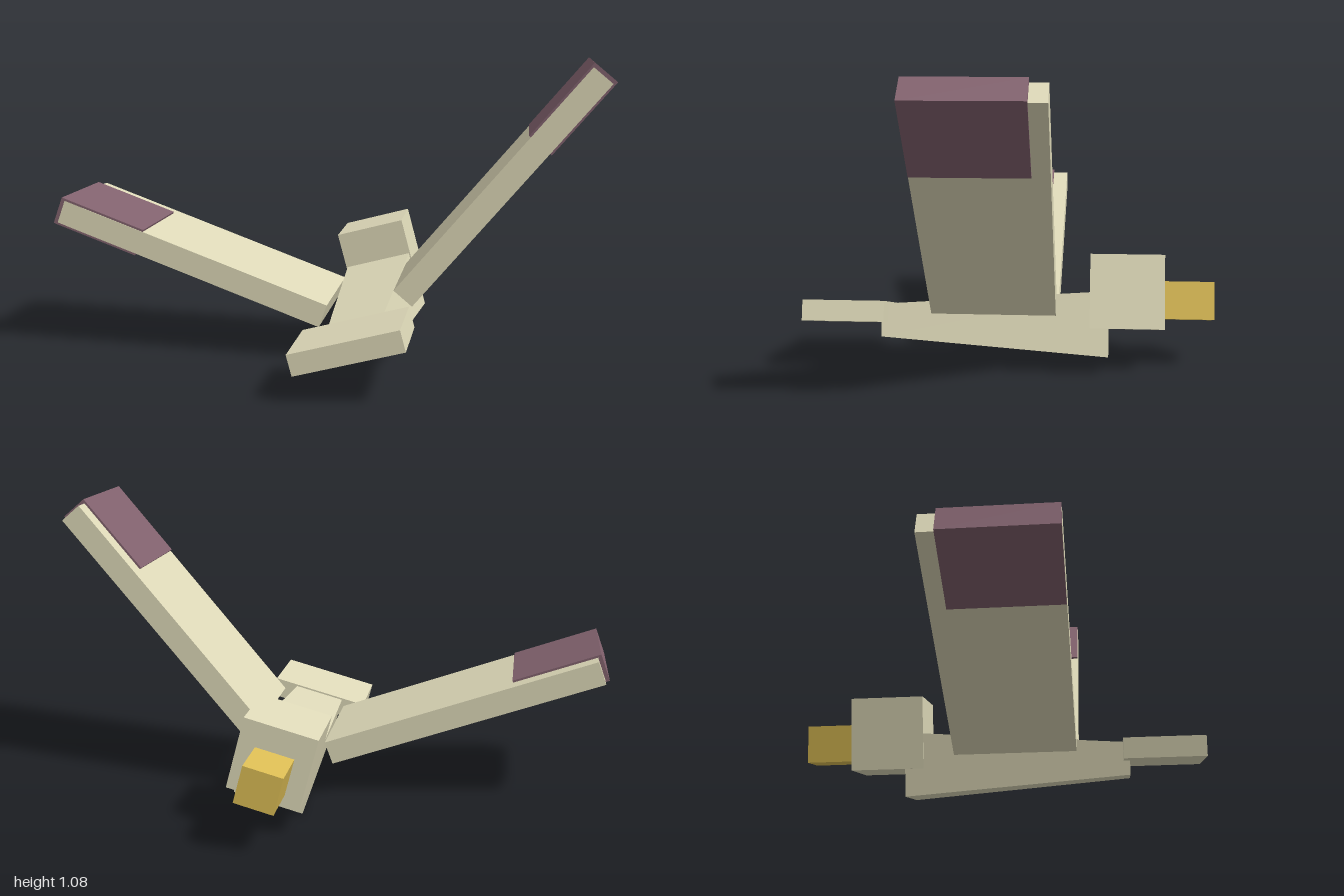
import * as THREE from 'three';

const paint = (name, color) => {
  const m = new THREE.MeshStandardMaterial({ color });
  m.name = name;
  return m;
};

export function createModel() {
  const cream = paint('cream', 0xdfdab9);
  const plum = paint('plum', 0x82626e);
  const gold = paint('gold', 0xdcbd54);

  const model = new THREE.Group();
  model.name = 'bird';

  // Whole bird banks to one side around its body axis
  const bank = new THREE.Group();
  bank.name = 'bankedBird';
  bank.position.set(0.158, 0.151, 0);
  bank.rotation.z = THREE.MathUtils.degToRad(15);
  model.add(bank);

  const box = (parent, name, mat, [w, h, d], [x, y, z]) => {
    const mesh = new THREE.Mesh(new THREE.BoxGeometry(w, h, d), mat);
    mesh.name = name;
    mesh.position.set(x, y, z);
    parent.add(mesh);
    return mesh;
  };

  // Body: a box narrowing from the head end (-z) to the tail end (+z)
  const body = box(bank, 'body', cream, [0.26, 0.233, 0.815], [0, 0, 0.0525]);
  const p = body.geometry.attributes.position;
  for (let i = 0; i < p.count; i++) {
    if (p.getZ(i) > 0) p.setXY(i, p.getX(i) * 0.75, p.getY(i) * 0.505);
  }
  body.geometry = body.geometry.toNonIndexed();
  body.geometry.computeVertexNormals();

  // Head, beak and flat tail
  box(bank, 'head', cream, [0.264, 0.264, 0.264], [0, 0.116, -0.42]);
  box(bank, 'beak', gold, [0.14, 0.135, 0.2], [0, 0.09, -0.63]);
  box(bank, 'tail', cream, [0.379, 0.074, 0.293], [0, 0.03, 0.5835]);

  // Raised wings, each with a plum sleeve around the tip
  for (const [side, label] of [[1, 'left'], [-1, 'right']]) {
    const wing = new THREE.Group();
    wing.name = label + 'Wing';
    wing.position.set(side * 0.148, 0.061, 0);
    wing.rotation.z = side * THREE.MathUtils.degToRad(35);
    box(wing, label + 'WingPanel', cream, [1.03, 0.086, 0.44], [side * 0.515, 0, 0.05]);
    box(wing, label + 'WingTip', plum, [0.325, 0.101, 0.38], [side * 0.8815, 0, 0.079]);
    bank.add(wing);
  }
  return model;
}
